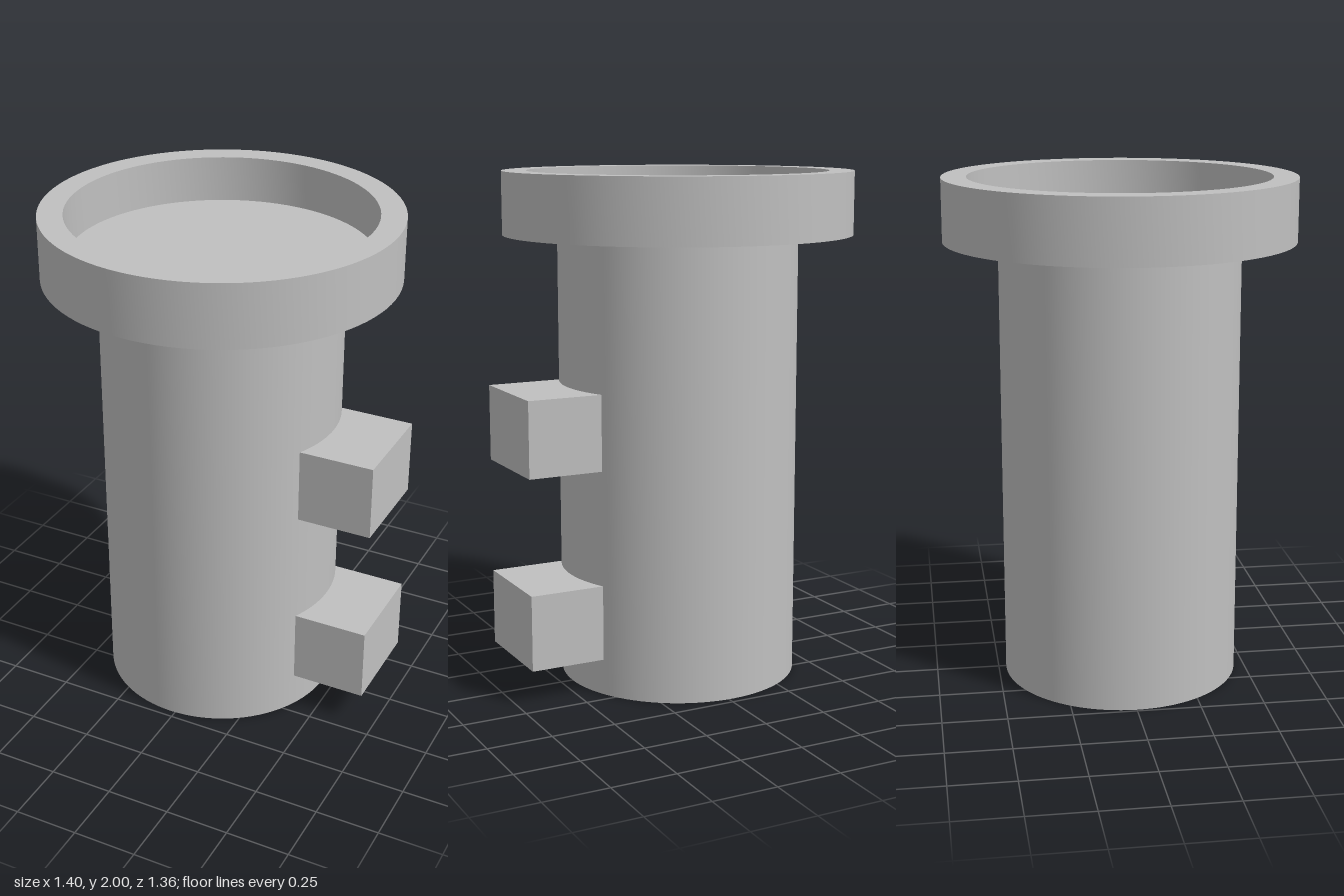
import * as THREE from 'three';
import { toCreasedNormals } from 'three/addons/utils/BufferGeometryUtils.js';

export function createModel() {
  const model = new THREE.Group();
  model.name = 'flangedTube';
  const grey = new THREE.MeshStandardMaterial({ color: 0xc0c0c0 });
  grey.name = 'grey';
  const axisX = -0.02;

  // Body: blind bore from below, outer wall, flange and shallow cup on top
  const profile = [
    [0, 1.755], [0.341, 1.755], [0.341, 0], [0.47, 0], [0.47, 1.755],
    [0.682, 1.755], [0.682, 2], [0.585, 2], [0.585, 1.82], [0, 1.82],
  ].map(([r, y]) => new THREE.Vector2(r, y));
  const body = new THREE.Mesh(
    toCreasedNormals(new THREE.LatheGeometry(profile, 96), Math.PI / 6), grey);
  body.name = 'tubeWithFlange';
  body.position.x = axisX;
  model.add(body);

  // Two mounting lugs on the left side, sunk into the tube wall
  const inner = 0.39, outer = 0.7;
  [['lowerLug', 0.288], ['upperLug', 1.033]].forEach(([name, y]) => {
    const lug = new THREE.Mesh(new THREE.BoxGeometry(outer - inner, 0.295, 0.4), grey);
    lug.name = name;
    lug.position.set((inner + outer) / 2, y, 0);
    model.add(lug);
  });

  return model;
}
